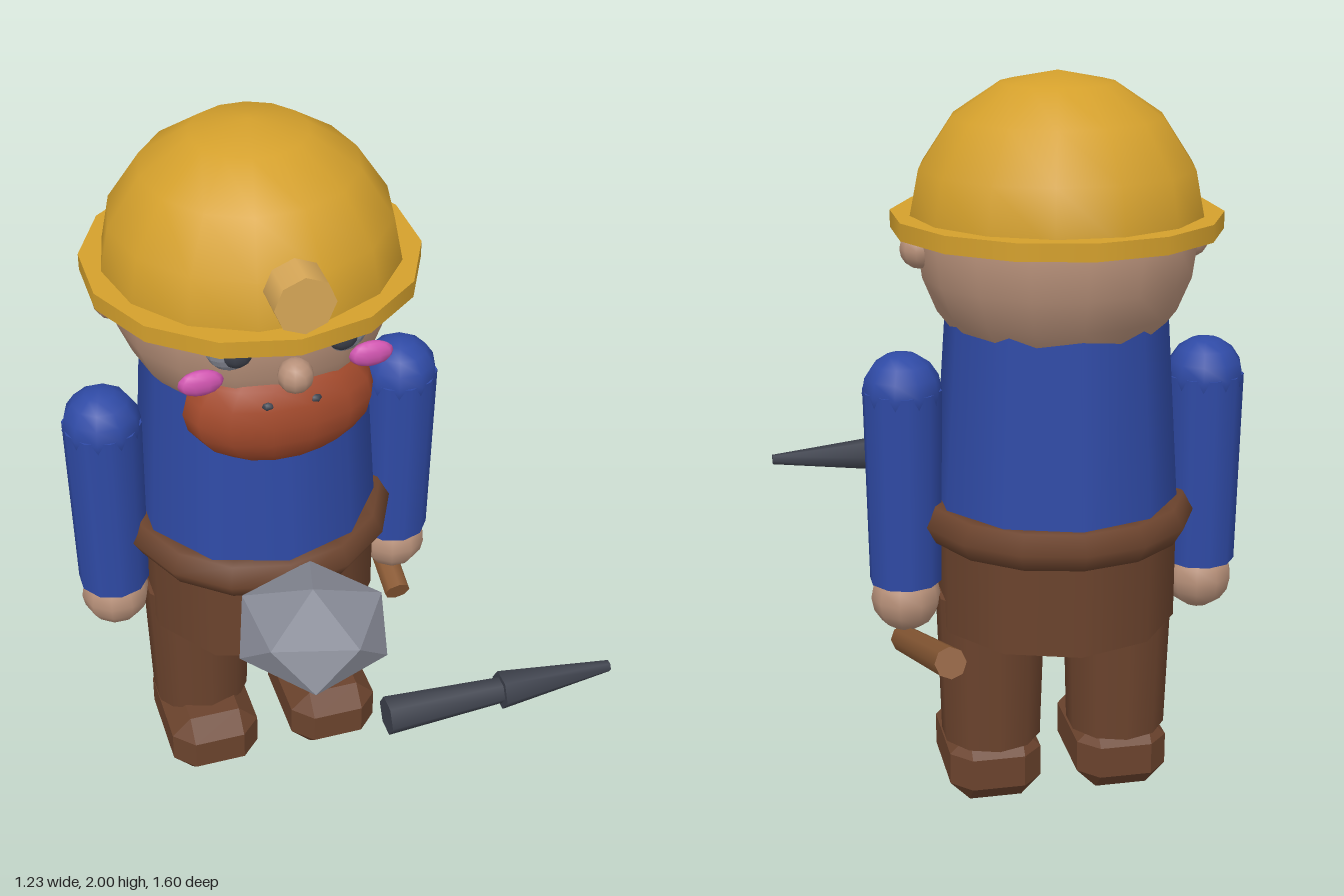
import * as THREE from 'three';
import { ConvexGeometry } from 'three/addons/geometries/ConvexGeometry.js';

const mat = (name, color, flatShading = false) => {
  const m = new THREE.MeshStandardMaterial({ color, flatShading });
  m.name = name;
  return m;
};

// Centre line of the figure
const CX = -0.095, CZ = -0.065;

export function createModel() {
  const yellow = mat('helmetYellow', 0xd4a02c);
  const brass = mat('lampBrass', 0xd8a858);
  const skin = mat('skin', 0xb8917a);
  const blue = mat('shirtBlue', 0x2f4aa5);
  const brown = mat('leatherBrown', 0x6b432d);
  const rust = mat('beardRust', 0xa34a2c);
  const pink = mat('cheekPink', 0xd055b0);
  const grey = mat('stoneGrey', 0x878a96, true);
  const iron = mat('ironDark', 0x3f434e);
  const wood = mat('handleWood', 0x8a5a35);

  const model = new THREE.Group();
  const add = (name, geo, material, x, y, z, parent = model) => {
    const mesh = new THREE.Mesh(geo, material);
    mesh.name = name;
    mesh.position.set(x, y, z);
    parent.add(mesh);
    return mesh;
  };
  const ball = (name, material, x, y, z, rx, ry = rx, rz = rx, w = 10, h = 8) =>
    add(name, new THREE.SphereGeometry(1, w, h).scale(rx, ry, rz), material, x, y, z);
  // Upright tapered cylinder between two heights
  const post = (name, material, x, z, y0, y1, r0, r1, n) =>
    add(name, new THREE.CylinderGeometry(r1, r0, y1 - y0, n), material, x, (y0 + y1) / 2, z);
  // Tapered rod from a to b
  const rod = (name, material, a, b, ra, rb, n) => {
    const dir = b.clone().sub(a), mid = a.clone().add(b).multiplyScalar(0.5);
    const mesh = add(name, new THREE.CylinderGeometry(rb, ra, dir.length(), n), material, mid.x, mid.y, mid.z);
    mesh.quaternion.setFromUnitVectors(new THREE.Vector3(0, 1, 0), dir.normalize());
    return mesh;
  };
  const V = (x, y, z) => new THREE.Vector3(x, y, z);

  // Torso, hips and belt
  post('torso', blue, CX, CZ, 0.8, 1.42, 0.335, 0.293, 10);
  post('hips', brown, CX, CZ, 0.525, 0.84, 0.33, 0.33, 10);
  const belt = new THREE.TorusGeometry(0.32, 0.057, 6, 14).rotateX(Math.PI / 2).rotateY(Math.PI / 2);
  add('belt', belt, brown, CX, 0.825, CZ);

  // Head and helmet
  ball('head', skin, CX, 1.575, CZ, 0.367, 0.367, 0.367, 16, 12);
  const dome = new THREE.SphereGeometry(0.39, 14, 4, 0, Math.PI * 2, 0, Math.PI / 2);
  add('helmetDome', dome, yellow, CX, 1.61, CZ);
  post('helmetBrim', yellow, CX, CZ, 1.597, 1.642, 0.433, 0.433, 14);
  const lamp = new THREE.CylinderGeometry(0.076, 0.076, 0.09, 8).rotateX(Math.PI / 2);
  add('helmetLamp', lamp, brass, CX, 1.753, 0.355);

  // Face
  ball('nose', skin, CX, 1.508, 0.32, 0.045);
  ball('beard', rust, CX, 1.345, 0.178, 0.25, 0.165, 0.135, 14, 10);

  // Bevelled box for the boots: each corner is cut by three points
  const bootPoints = [];
  const [bx, by, bz, bevel] = [0.128, 0.1, 0.18, 0.055];
  for (const i of [-1, 1]) for (const j of [-1, 1]) for (const k of [-1, 1]) {
    bootPoints.push(
      V(i * bx, j * (by - bevel), k * (bz - bevel)),
      V(i * (bx - bevel), j * by, k * (bz - bevel)),
      V(i * (bx - bevel), j * (by - bevel), k * bz));
  }
  const bootGeo = new ConvexGeometry(bootPoints);

  // Mirrored parts
  for (const s of [-1, 1]) {
    const side = s > 0 ? 'left' : 'right';
    const x = d => CX + s * d;
    ball(side + 'Ear', skin, x(0.36), 1.557, CZ, 0.052);
    ball(side + 'Eye', grey, x(0.14), 1.575, 0.25, 0.064, 0.064, 0.042, 14, 10);
    ball(side + 'Pupil', iron, x(0.132), 1.575, 0.272, 0.042, 0.046, 0.035);
    ball(side + 'Cheek', pink, x(0.217), 1.482, 0.248, 0.058, 0.035, 0.022);
    ball(side + 'MouthCorner', iron, x(0.06), 1.408, 0.29, 0.018, 0.012, 0.012, 6, 4);
    // Arm with rounded shoulder and hand
    post(side + 'Arm', blue, x(0.413), CZ - 0.002, 0.65, 1.185, 0.098, 0.106, 10);
    ball(side + 'Shoulder', blue, x(0.413), 1.18, CZ - 0.002, 0.106);
    ball(side + 'Hand', skin, x(0.413), 0.6, CZ, 0.095);
    // Leg and boot
    post(side + 'Leg', brown, x(0.18), CZ, 0.17, 0.6, 0.139, 0.152, 10);
    add(side + 'Boot', bootGeo, brown, x(0.181), 0.1, -0.016);
  }

  // Faceted stone: two staggered rings of five between two tips
  const stone = [V(0, 0.935, 0), V(0, 0.735, 0)];
  for (let i = 0; i < 5; i++) {
    const lo = THREE.MathUtils.degToRad(33 + 72 * i), hi = lo + Math.PI / 5;
    stone.push(V(0.2 * Math.cos(lo), 0.758, 0.2 * Math.sin(lo)));
    stone.push(V(0.19 * Math.cos(hi), 0.866, 0.19 * Math.sin(hi)));
  }
  add('stone', new ConvexGeometry(stone), grey, -0.09, 0, 0.455);

  // Pick head in two tapers, and its handle
  rod('pickSocket', iron, V(0.01, 0.74, 0.75), V(0.315, 0.74, 0.75), 0.05, 0.034, 6);
  rod('pickPoint', iron, V(0.315, 0.74, 0.75), V(0.615, 0.74, 0.75), 0.05, 0.015, 6);
  rod('pickHandle', wood, V(0.315, 0.437, 0.01), V(0.315, 0.73, -0.787), 0.038, 0.038, 8);

  return model;
}
